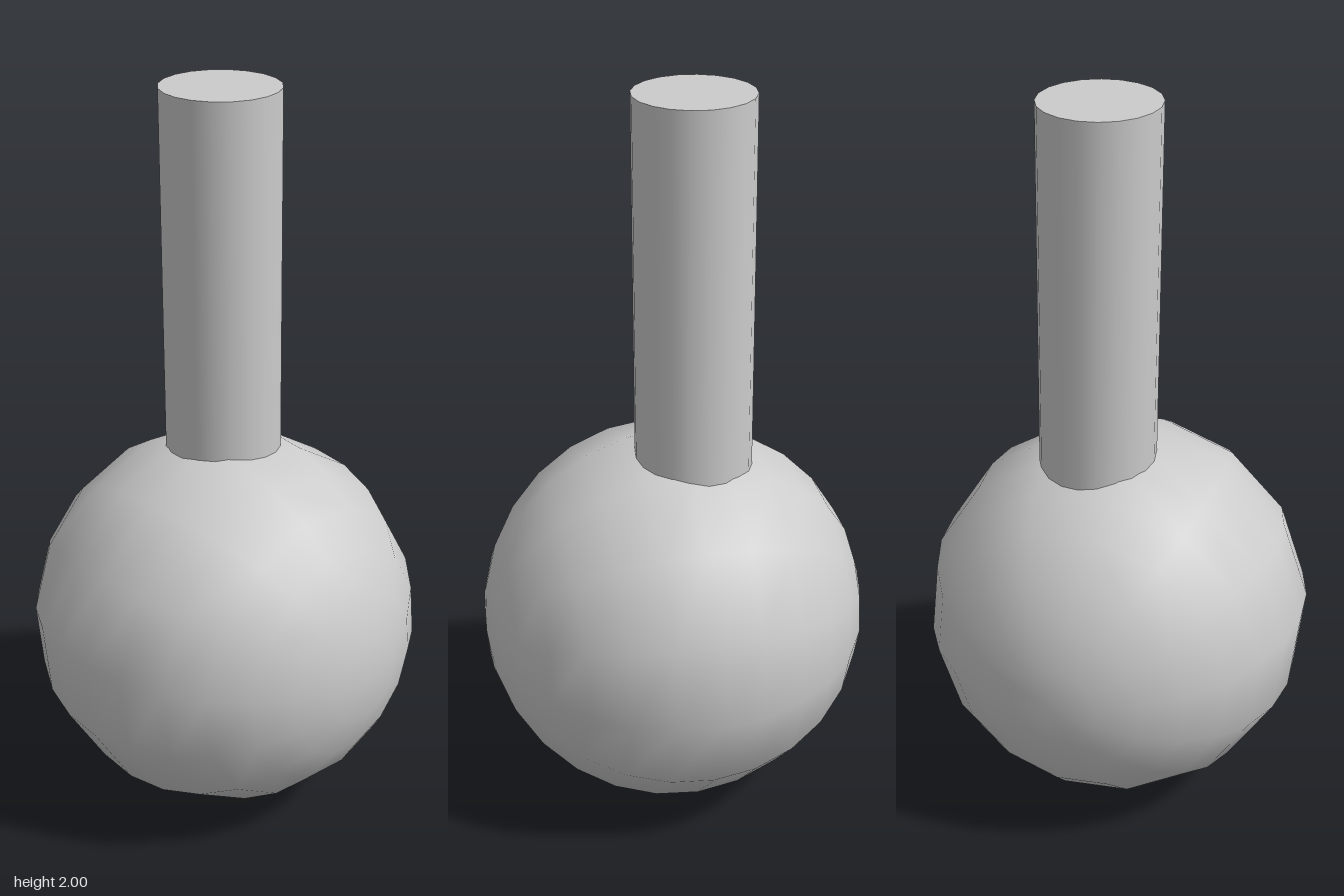
import * as THREE from 'three';

export function createModel() {
  const group = new THREE.Group();
  const material = new THREE.MeshStandardMaterial({ color: 0xcccccc });

  // Round bulb, with its poles on the x axis
  const radius = 0.528;
  const bulbGeometry = new THREE.SphereGeometry(radius, 14, 14);
  bulbGeometry.rotateZ(Math.PI / 2).rotateX(Math.PI / 28);
  const bulb = new THREE.Mesh(bulbGeometry, material);
  bulb.name = 'bulb';
  bulb.position.y = radius * Math.cos(Math.PI / 28);
  group.add(bulb);

  // Straight neck, slightly off centre and leaning forward, sunk into the bulb
  const bottom = 0.85, height = 2 - bottom;
  const neckGeometry = new THREE.CylinderGeometry(0.157, 0.157, height, 20);
  neckGeometry.applyMatrix4(new THREE.Matrix4().makeShear(0, 0, 0, 0.01, 0, 0));
  const neck = new THREE.Mesh(neckGeometry, material);
  neck.name = 'neck';
  neck.position.set(-0.046, bottom + height / 2, -0.039);
  group.add(neck);

  return group;
}
